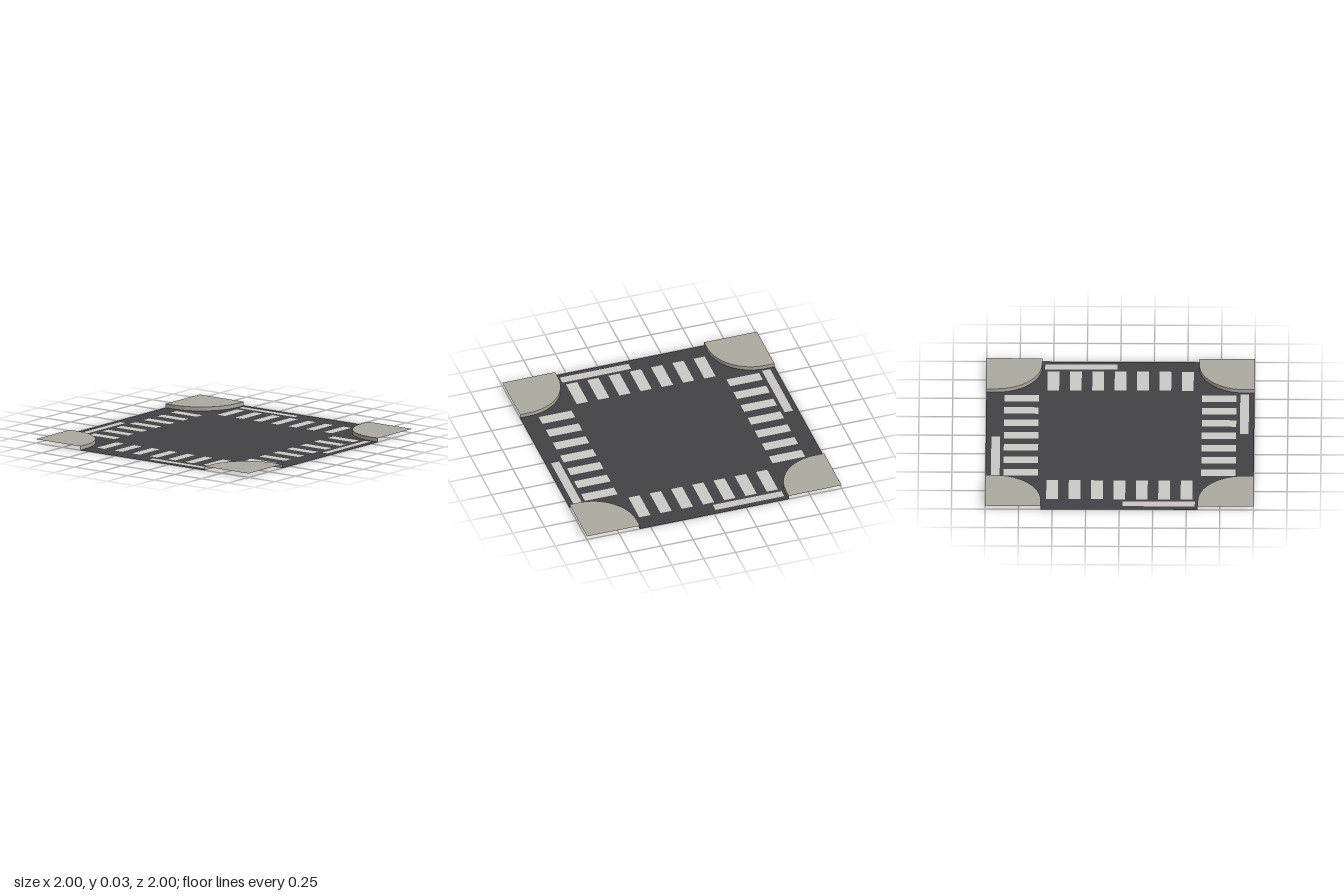
import * as THREE from 'three';

const CURB = 0.415;   // corner size along each edge
const RADIUS = 0.34;  // rounding of the corner
const HEIGHT = 0.03;  // pavement height
const ARC_STEPS = 12;

const material = (name, color) => {
  const m = new THREE.MeshStandardMaterial({ color, side: THREE.DoubleSide });
  m.name = name;
  return m;
};

// Curb line of the (+x, -z) corner, in plan (x, -z)
function curbLine() {
  const c = 1 - CURB + RADIUS;
  const points = [new THREE.Vector2(1 - CURB, 1)];
  for (let i = 0; i <= ARC_STEPS; i++) {
    const a = Math.PI + (i / ARC_STEPS) * Math.PI / 2;
    points.push(new THREE.Vector2(c + RADIUS * Math.cos(a), c + RADIUS * Math.sin(a)));
  }
  points.push(new THREE.Vector2(1, 1 - CURB));
  return points;
}

const flat = (points) => new THREE.ShapeGeometry(new THREE.Shape(points)).rotateX(-Math.PI / 2);

// Upright strip following the curb line
function curbWall(points) {
  const n = points.length;
  const geometry = new THREE.PlaneGeometry(1, HEIGHT, n - 1, 1);
  const pos = geometry.attributes.position;
  for (let i = 0; i < pos.count; i++) {
    const p = points[i % n];
    pos.setXYZ(i, p.x, i < n ? HEIGHT : 0, -p.y);
  }
  geometry.computeVertexNormals();
  return geometry;
}

export function createModel() {
  const model = new THREE.Group();
  model.name = 'crossroadTile';
  const asphalt = material('asphalt', 0x424146);
  const concrete = material('concrete', 0xa9a99f);
  const stripePaint = material('stripePaint', 0xc9c9c5);
  const linePaint = material('linePaint', 0xcac6c3);

  const add = (parent, name, geometry, mat) => {
    const mesh = new THREE.Mesh(geometry, mat);
    mesh.name = name;
    parent.add(mesh);
    return mesh;
  };

  // Road sheet, cut out at the four corners
  const curb = curbLine();
  const outline = [];
  for (let k = 0; k < 4; k++) {
    for (const p of curb) {
      outline.push(p.clone().rotateAround(new THREE.Vector2(), -k * Math.PI / 2));
    }
  }
  add(model, 'road', flat(outline), asphalt);

  // Shared geometry for one side of the crossing
  const topGeometry = flat([...curb, new THREE.Vector2(1, 1)]).translate(0, HEIGHT, 0);
  const wallGeometry = curbWall(curb);
  const stripeGeometry = new THREE.PlaneGeometry(0.088, 0.257).rotateX(-Math.PI / 2);
  const lineGeometry = new THREE.PlaneGeometry(0.54, 0.065).rotateX(-Math.PI / 2);

  // Four identical sides, each a quarter turn on
  for (let k = 0; k < 4; k++) {
    const side = new THREE.Group();
    side.name = 'side' + (k + 1);
    side.rotation.y = k * Math.PI / 2;
    add(side, 'pavementTop', topGeometry, concrete);
    add(side, 'curbWall', wallGeometry, concrete);
    for (let i = -3; i <= 3; i++) {
      add(side, 'crossingStripe', stripeGeometry, stripePaint).position.set(i * 0.167, 0.003, -0.737);
    }
    add(side, 'stopLine', lineGeometry, linePaint).position.set(-0.293, 0.003, -0.926);
    model.add(side);
  }
  return model;
}
